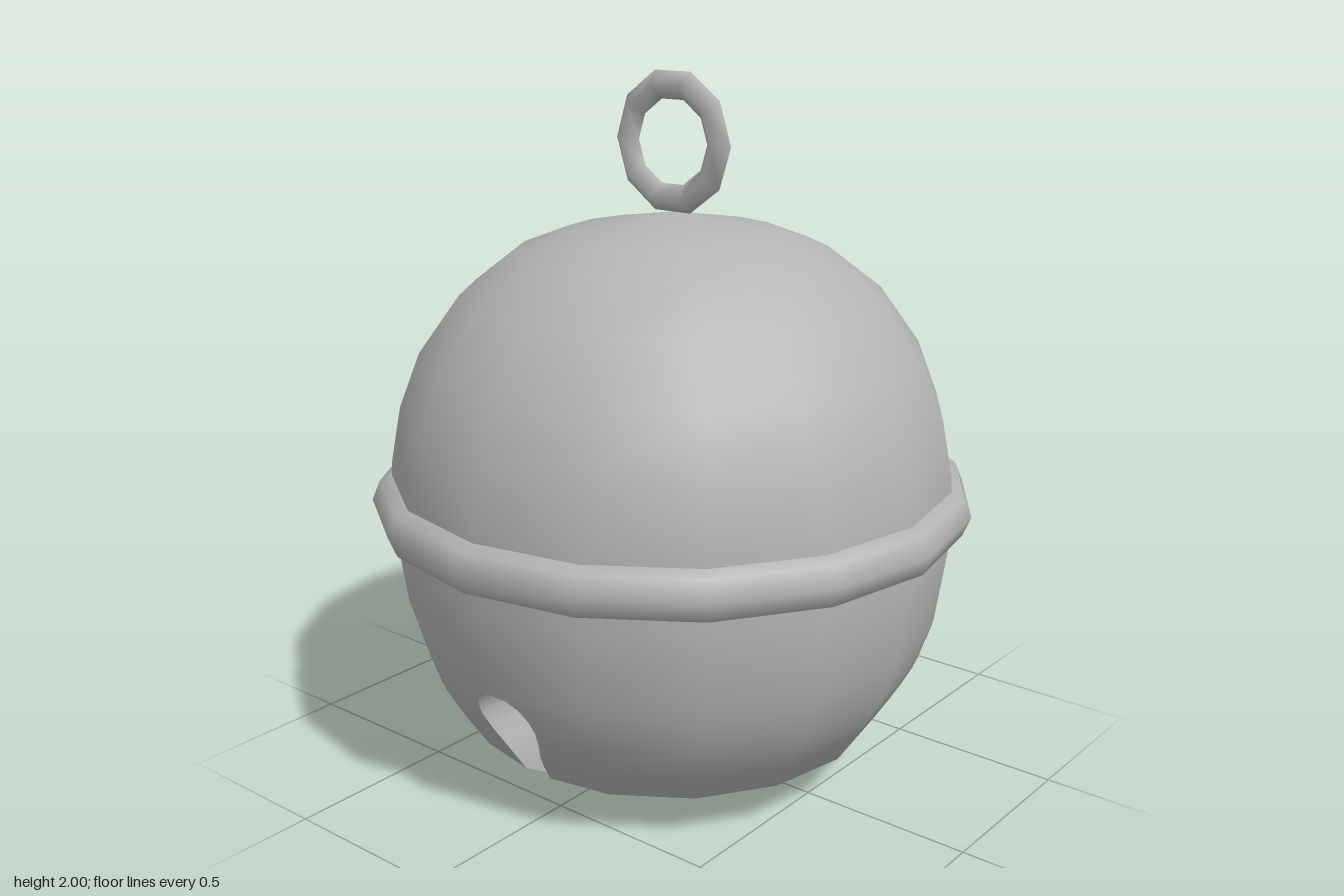
import * as THREE from 'three';

const SIDES = 16;
const MID = 0.81; // height of the bell's waist

// Rows from crown to base: [radius, height, half width of the slot]
const PROFILE = [
  [0, 1.62, 0], [0.305, 1.567, 0], [0.44, 1.515, 0], [0.595, 1.395, 0], [0.71, 1.235, 0],
  [0.77, 1.08, 0], [0.8, 0.92, 0], [0.805, 0.81, 0], [0.8, 0.7, 0], [0.77, 0.49, 0],
  [0.754, 0.438, 0], [0.75, 0.43, 0.04], [0.743, 0.408, 0.072], [0.732, 0.375, 0.093],
  [0.715, 0.335, 0.1], [0.687, 0.285, 0.086], [0.657, 0.235, 0.066], [0.628, 0.19, 0.054],
  [0.595, 0.14, 0.046], [0.5, 0.087, 0.041], [0.305, 0.034, 0.037], [0.037, 0.001, 0.034],
];

// Smooth outward direction of the rounded profile
function profileNormal(r, y) {
  const p = y > MID ? 1.1 : 1.6;
  const t = (y - MID) / MID;
  return [Math.pow(r / 0.805, p), Math.sign(t) * Math.pow(Math.abs(t), p)];
}

function makeGeometry(positions, index, normals) {
  const g = new THREE.BufferGeometry();
  g.setAttribute('position', new THREE.Float32BufferAttribute(positions, 3));
  g.setIndex(index);
  if (normals) g.setAttribute('normal', new THREE.Float32BufferAttribute(normals, 3));
  else g.computeVertexNormals();
  return g;
}

// Joins rows of points into triangles
function gridIndex(rows, columns, flip) {
  const index = [];
  for (let i = 0; i < rows - 1; i++) {
    for (let k = 0; k < columns - 1; k++) {
      const a = i * columns + k, b = a + columns, c = a + 1, d = b + 1;
      if (flip) index.push(a, c, b, c, d, b);
      else index.push(a, b, c, c, b, d);
    }
  }
  return index;
}

// One side of the shell, from the front edge of the slot round to the back edge
function halfShell(side) {
  const n = SIDES / 2, pos = [], nor = [];
  for (const [r, y, w] of PROFILE) {
    const [nr, ny] = profileNormal(r, y);
    const edgeZ = r - w * Math.tan(Math.PI / SIDES);
    for (let k = 0; k <= n; k++) {
      const a = (k / n) * Math.PI;
      const x = Math.max(w, r * Math.sin(a));
      const z = THREE.MathUtils.clamp(r * Math.cos(a), -edgeZ, edgeZ);
      const dir = r > 0 ? Math.atan2(x, z) : a;
      const v = new THREE.Vector3(side * Math.sin(dir) * nr, ny, Math.cos(dir) * nr).normalize();
      pos.push(side * x, y, z);
      nor.push(v.x, v.y, v.z);
    }
  }
  return makeGeometry(pos, gridIndex(PROFILE.length, n + 1, side < 0), nor);
}

// One wall of the keyhole slot, running straight from front to back
function slotWall(side) {
  const rows = PROFILE.filter(([, y]) => y < 0.44);
  const pos = [];
  for (const [r, y, w] of rows) {
    const z = r - w * Math.tan(Math.PI / SIDES);
    pos.push(side * w, y, z, side * w, y, -z);
  }
  return makeGeometry(pos, gridIndex(rows.length, 2, side > 0));
}

export function createModel() {
  const model = new THREE.Group();
  model.name = 'jingleBell';
  const metal = new THREE.MeshStandardMaterial({ color: 0xb4b4b4 });
  metal.name = 'grey metal';

  const add = (name, geometry) => {
    const mesh = new THREE.Mesh(geometry, metal);
    mesh.name = name;
    model.add(mesh);
    return mesh;
  };

  // Body with the slot cut through its base
  for (const [side, label] of [[1, 'left'], [-1, 'right']]) {
    add(label + 'Shell', halfShell(side));
    add(label + 'SlotWall', slotWall(side));
  }

  // Raised band around the waist
  const band = add('waistBand', new THREE.TorusGeometry(0.782, 0.078, 8, SIDES));
  band.rotation.x = Math.PI / 2;
  band.position.y = MID;

  // Hanging loop on the crown
  const loop = add('hangingLoop', new THREE.TorusGeometry(0.16, 0.04, 4, 10));
  loop.position.y = 1.81;

  return model;
}
